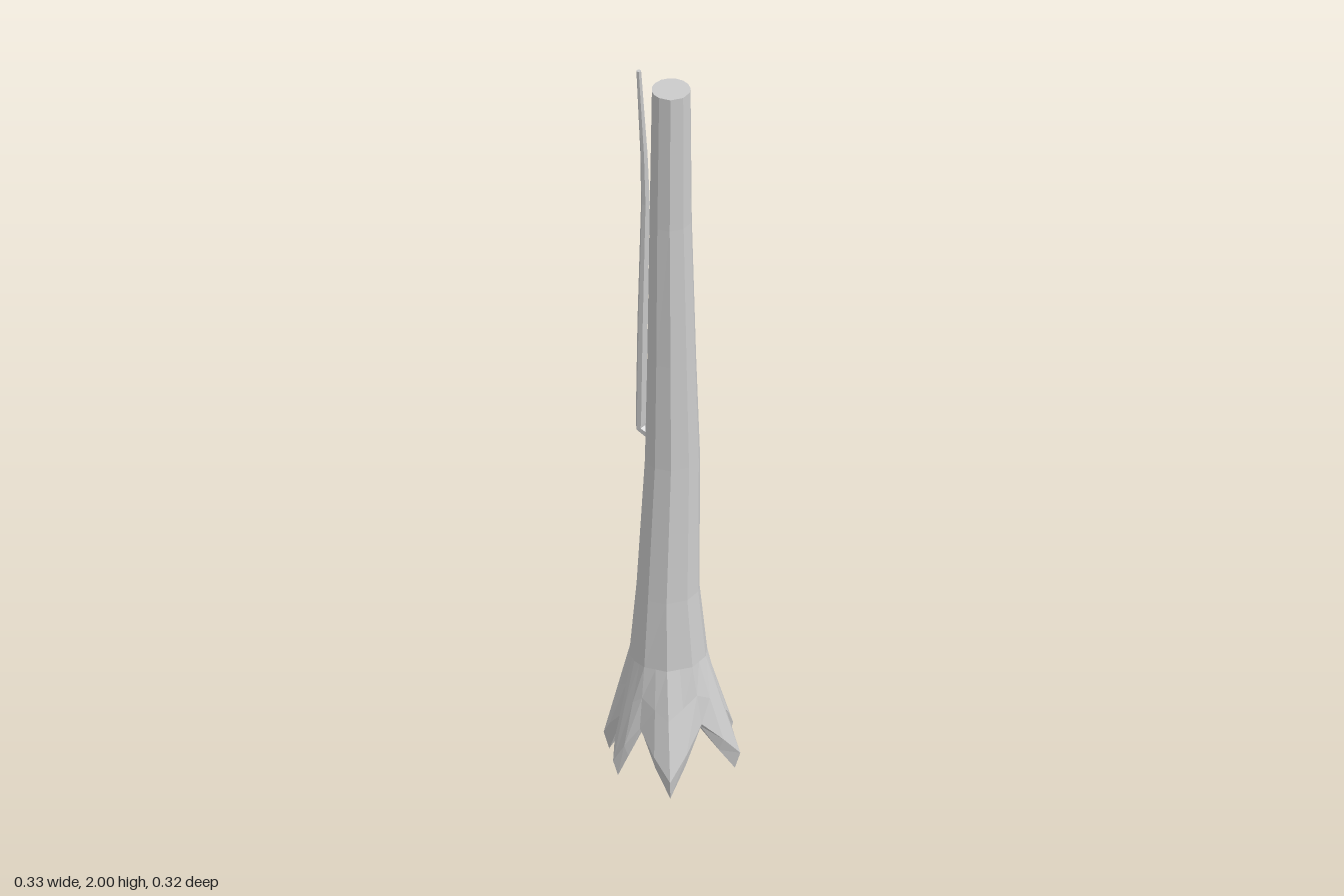
import * as THREE from 'three';

const V = (x, y, z) => new THREE.Vector3(x, y, z);
const UP = V(0, 1, 0);
const polar = (deg, r, y) => V(r * Math.cos(deg * Math.PI / 180), y, r * Math.sin(deg * Math.PI / 180));

// Skins rows of points, listed from first to last, with faceted quads
function loft(name, rows) {
  const pos = [], n = rows[0].length;
  const tri = (...ps) => ps.forEach(p => pos.push(p.x, p.y, p.z));
  for (let i = 0; i < rows.length - 1; i++) {
    for (let j = 0; j < n; j++) {
      const k = (j + 1) % n, [lo, hi] = [rows[i], rows[i + 1]];
      if (lo[j] !== lo[k]) tri(lo[j], hi[j], lo[k]);
      if (hi[j] !== hi[k]) tri(lo[k], hi[j], hi[k]);
    }
  }
  const geo = new THREE.BufferGeometry();
  geo.setAttribute('position', new THREE.Float32BufferAttribute(pos, 3));
  geo.computeVertexNormals();
  const mesh = new THREE.Mesh(geo, new THREE.MeshStandardMaterial({ color: 0xcccccc, flatShading: true, side: THREE.DoubleSide }));
  mesh.name = name;
  return mesh;
}

// Root ridges and the valley after each: angle, radius, arch height
const ROOTS = [
  { a: -21, r: 0.174, va: 14, vr: 0.116, vy: 0.16 },
  { a: 54, r: 0.182, va: 90, vr: 0.13, vy: 0.155 },
  { a: 112, r: 0.168, va: 131, vr: 0.126, vy: 0.145 },
  { a: 156, r: 0.173, va: 178, vr: 0.112, vy: 0.15 },
  { a: 202, r: 0.176, va: 224, vr: 0.15, vy: 0.12 },
  { a: 247, r: 0.174, va: 270, vr: 0.11, vy: 0.155 },
  { a: 293, r: 0.171, va: 316, vr: 0.114, vy: 0.15 },
];
const ANGLES = ROOTS.flatMap(r => [r.a, r.va]);

// Trunk sections: height, centre x, centre z, radius x, radius z
const SECTIONS = [
  [0.33, -0.005, 0.01, 0.096, 0.096],
  [0.52, -0.005, 0.012, 0.078, 0.079],
  [0.9, -0.003, -0.004, 0.067, 0.07],
  [1.2, -0.004, -0.002, 0.06, 0.061],
  [1.6, -0.007, -0.002, 0.052, 0.053],
  [1.99, -0.003, 0.001, 0.048, 0.048],
];
const section = ([y, cx, cz, rx, rz]) => ANGLES.map(a => {
  const p = polar(a, 1, 0);
  return V(cx + rx * p.x, y, cz + rz * p.z);
});

// Insert a flank column between each ridge and valley
const withFlanks = (row, swell = 1, drop = 0) => row.flatMap((p, i) => {
  const m = p.clone().lerp(row[(i + 1) % row.length], 0.5);
  return [p, V(m.x * swell, m.y - drop, m.z * swell)];
});

function makeRoots() {
  const collar = section(SECTIONS[0]);
  const row = (ridge, valley) => ROOTS.flatMap((r, i) => [ridge(r, collar[2 * i]), valley(r, collar[2 * i + 1])]);
  const apex = V(0, 0.2, 0);
  const inner = row(r => polar(r.a, 0.095, 0.12), r => polar(r.va, 0.08, 0.165));
  const tips = row(r => polar(r.a, r.r - 0.014, r.a === 54 ? 0 : 0.008), r => polar(r.va, r.vr - 0.006, r.vy));
  const knees = row(r => polar(r.a, r.r, 0.055), r => polar(r.va, r.vr, r.vy + 0.008));
  const shins = row(
    (r, c) => polar(r.a, r.r, 0.055).lerp(c, 0.55),
    (r, c) => polar(r.va, r.vr, r.vy + 0.008).lerp(c, 0.5));
  return loft('roots', [
    new Array(28).fill(apex),
    withFlanks(inner),
    withFlanks(tips, 1.03, 0.008),
    withFlanks(knees, 1.05),
    withFlanks(shins, 1.02),
    withFlanks(collar),
  ]);
}

function makeTrunk() {
  const cap = V(-0.003, 1.99, 0.001);
  return loft('trunk', [...SECTIONS.map(section), new Array(ANGLES.length).fill(cap)]);
}

// Thin side branch: short stub out of the trunk, then a long upright shoot
function makeBranch() {
  const out = V(-0.05, 0.03, 0.015).normalize();
  const stations = [
    [V(-0.05, 0.905, -0.028), 0.016, out],
    [V(-0.085, 0.925, -0.018), 0.014, out],
    [V(-0.106, 0.938, -0.012), 0.014, V(-0.6, 0.8, 0.1).normalize()],
    [V(-0.106, 0.965, -0.012), 0.013, UP],
    [V(-0.104, 1.25, -0.016), 0.013, UP],
    [V(-0.1, 1.6, -0.022), 0.011, UP],
    [V(-0.1, 1.75, -0.016), 0.009, UP],
    [V(-0.106, 2.0, -0.003), 0.006, UP],
  ];
  const rows = stations.map(([c, r, dir]) => {
    const q = new THREE.Quaternion().setFromUnitVectors(UP, dir);
    return Array.from({ length: 7 }, (_, i) => polar(i * 360 / 7, r, 0).applyQuaternion(q).add(c));
  });
  rows.push(new Array(7).fill(stations[stations.length - 1][0]));
  return loft('sideBranch', rows);
}

export function createModel() {
  const group = new THREE.Group();
  group.name = 'treeTrunk';
  group.add(makeRoots(), makeTrunk(), makeBranch());
  return group;
}
